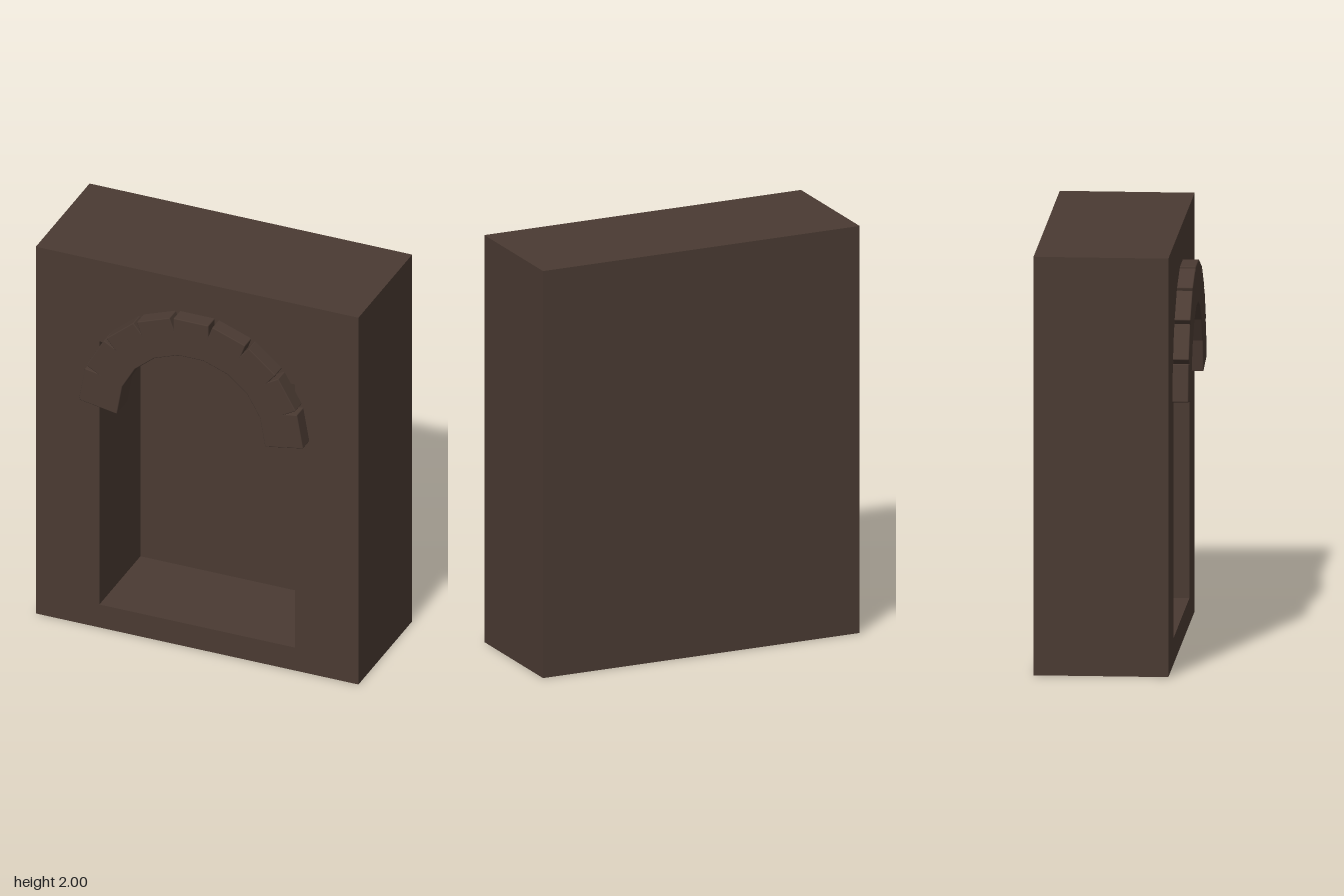
import * as THREE from 'three';
import { RoundedBoxGeometry } from 'three/addons/geometries/RoundedBoxGeometry.js';

export function createModel() {
  const model = new THREE.Group();
  model.name = 'wallNiche';
  const stone = new THREE.MeshStandardMaterial({ color: 0x4a3a32 });
  stone.name = 'dark brown stone';

  const halfWidth = 0.825, height = 2, back = -0.355, front = 0.28;
  const nicheHalf = 0.5, nicheBottom = 0.125, nicheTop = 1.56, nicheBack = -0.205;

  // Wall with a rectangular opening cut through it
  const outline = new THREE.Shape([
    new THREE.Vector2(-halfWidth, 0), new THREE.Vector2(halfWidth, 0),
    new THREE.Vector2(halfWidth, height), new THREE.Vector2(-halfWidth, height),
  ]);
  outline.holes.push(new THREE.Path([
    new THREE.Vector2(-nicheHalf, nicheBottom), new THREE.Vector2(-nicheHalf, nicheTop),
    new THREE.Vector2(nicheHalf, nicheTop), new THREE.Vector2(nicheHalf, nicheBottom),
  ]));
  const wallGeometry = new THREE.ExtrudeGeometry(outline, { depth: front - back, bevelEnabled: false });
  const wall = new THREE.Mesh(wallGeometry, stone);
  wall.name = 'wall';
  wall.position.z = back;
  model.add(wall);

  // Panel closing the back of the niche, flush with the wall's rear
  const panel = new THREE.Mesh(
    new THREE.BoxGeometry(nicheHalf * 2, nicheTop - nicheBottom, nicheBack - back), stone);
  panel.name = 'nicheBackPanel';
  panel.position.set(0, (nicheTop + nicheBottom) / 2, (nicheBack + back) / 2);
  model.add(panel);

  // Arch of nine slightly bevelled blocks, 20 degrees apart
  const arch = new THREE.Group();
  arch.name = 'arch';
  arch.position.set(0, 1.256, 0.29);
  const block = new RoundedBoxGeometry(0.18, 0.198, 0.13, 1, 0.005);
  const radius = 0.468;
  for (let i = -4; i <= 4; i++) {
    const angle = THREE.MathUtils.degToRad(i * 20);
    const mesh = new THREE.Mesh(block, stone);
    mesh.name = i === 0 ? 'keystone' : 'archBlock';
    mesh.position.set(Math.sin(angle) * radius, Math.cos(angle) * radius, 0);
    mesh.rotation.z = -angle;
    arch.add(mesh);
  }
  model.add(arch);

  return model;
}
